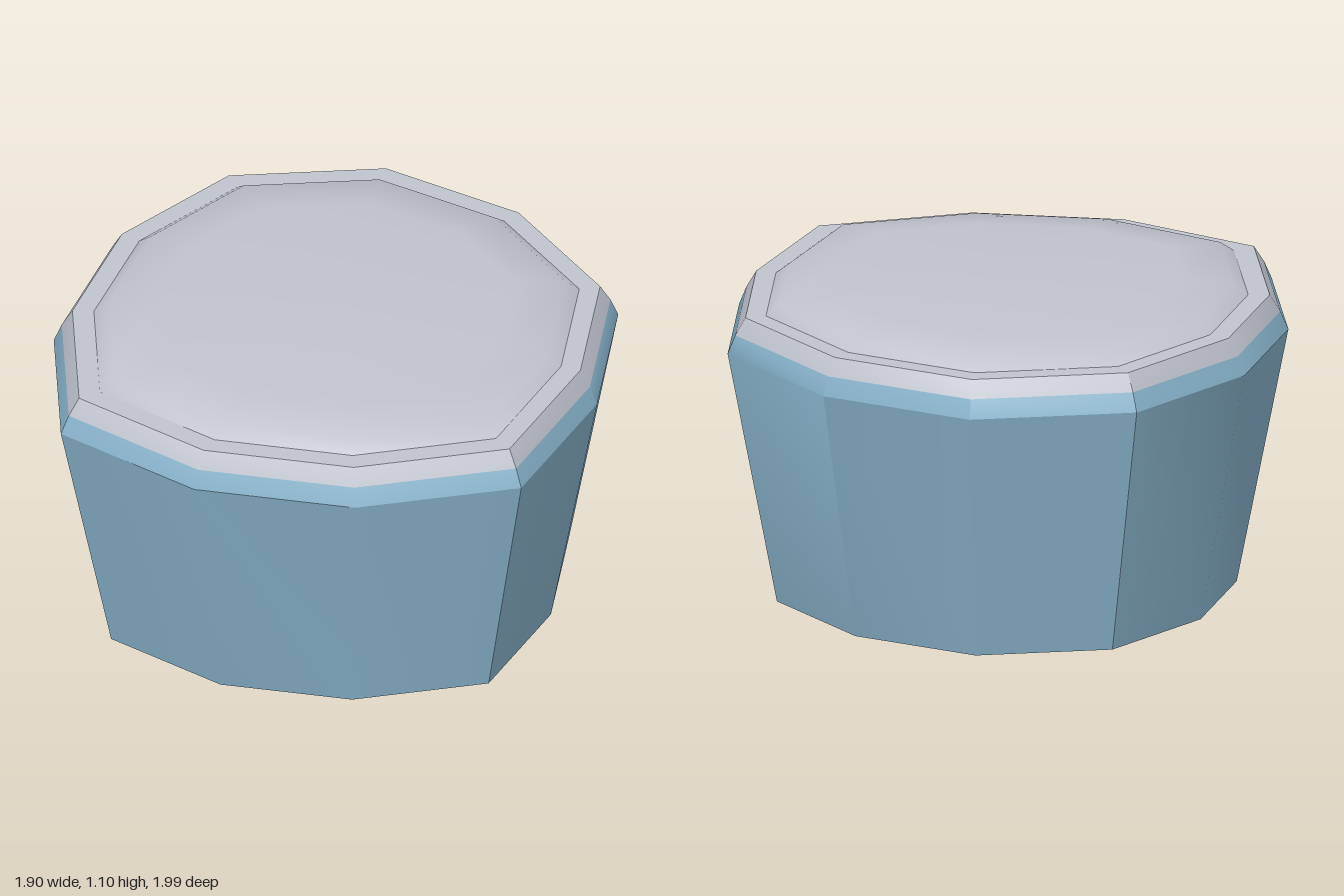
import * as THREE from 'three';
import { toCreasedNormals } from 'three/addons/utils/BufferGeometryUtils.js';

// Irregular eleven-sided outline (x, z) at the widest level
const OUTLINE = [
  [-0.18, -1.0], [0.38, -0.89], [0.83, -0.53], [0.95, 0.02], [0.88, 0.6], [0.38, 0.91],
  [-0.18, 0.99], [-0.73, 0.82], [-0.95, 0.28], [-0.95, -0.26], [-0.71, -0.76],
];

// Stacks scaled copies of the outline; each level is [scale, y, material index of the band above it]
function stack(levels, crease) {
  const pos = [];
  const geo = new THREE.BufferGeometry();
  const n = OUTLINE.length;
  const point = ([s, y], i) => [OUTLINE[i % n][0] * s, y, OUTLINE[i % n][1] * s];
  for (let k = 0; k < levels.length - 1; k++) {
    const lo = levels[k], hi = levels[k + 1];
    const start = pos.length / 3;
    for (let i = 0; i < n; i++) {
      const a = point(lo, i), b = point(lo, i + 1), c = point(hi, i + 1), d = point(hi, i);
      if (hi[0] > 0) pos.push(...a, ...d, ...c);
      if (lo[0] > 0) pos.push(...a, ...c, ...b);
    }
    geo.addGroup(start, pos.length / 3 - start, lo[2]);
  }
  geo.setAttribute('position', new THREE.Float32BufferAttribute(pos, 3));
  return toCreasedNormals(geo, crease);
}

export function createModel() {
  const blue = new THREE.MeshStandardMaterial({ color: 0x86b0c8 });
  blue.name = 'blue';
  const grey = new THREE.MeshStandardMaterial({ color: 0xbfc3cd });
  grey.name = 'pale grey';
  const materials = [blue, grey];

  const group = new THREE.Group();
  const add = (name, geo) => {
    const mesh = new THREE.Mesh(geo, materials);
    mesh.name = name;
    group.add(mesh);
  };

  // Tapered body with base, rounded shoulder and grey rim edge
  add('body', stack([
    [0, 0, 0], [0.82, 0, 0], [1, 0.915, 0], [0.972, 0.98, 1], [0.935, 1.04, 1],
  ], 0.57));

  // Flat rim ring
  add('rim', stack([[0.935, 1.04, 1], [0.86, 1.04, 1]], 0.57));

  // Low cushioned top
  add('top', stack([
    [0.86, 1.04, 1], [0.81, 1.078, 1], [0.63, 1.098, 1], [0, 1.1, 1],
  ], 0.8));

  return group;
}
